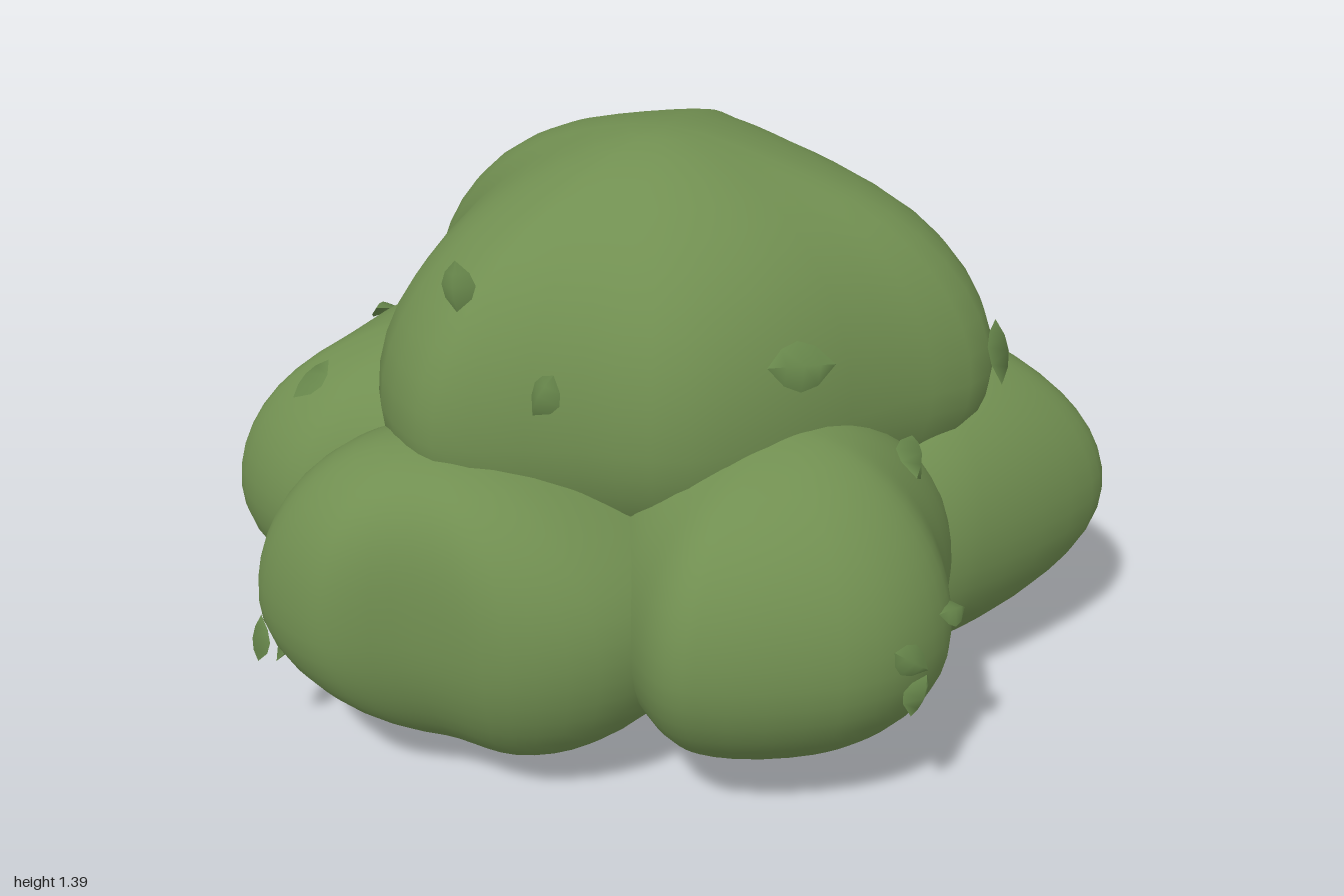
import * as THREE from 'three';
import { mergeVertices } from 'three/addons/utils/BufferGeometryUtils.js';

const foliage = new THREE.MeshStandardMaterial({ color: 0x718f51 });
foliage.name = 'foliage green';
const leafGreen = new THREE.MeshStandardMaterial({ color: 0x66854a, side: THREE.DoubleSide });
leafGreen.name = 'leaf green';
const bark = new THREE.MeshStandardMaterial({ color: 0x7a5842 });
bark.name = 'bark brown';

// Rounded clump: a sphere whose widest ring follows a closed outline of [x, z] points
// running left, front, right, back; top and bottom are its [x, y, z] poles
function clump(name, top, bottom, midY, outline) {
  const curve = new THREE.CatmullRomCurve3(
    outline.map(([x, z]) => new THREE.Vector3(x, 0, z)), true, 'centripetal');
  const ring = curve.getPoints(48);
  const geo = new THREE.SphereGeometry(1, 48, 24);
  const pos = geo.attributes.position, uv = geo.attributes.uv;
  const meanRadius = ([cx, , cz]) =>
    ring.reduce((sum, p) => sum + Math.hypot(p.x - cx, p.z - cz), 0) / ring.length;
  const topRadius = meanRadius(top), bottomRadius = meanRadius(bottom);
  for (let i = 0; i < pos.count; i++) {
    const y = pos.getY(i);
    const pole = y > 0 ? top : bottom;
    const r = Math.sqrt(Math.max(0, 1 - y * y));
    const p = curve.getPoint((uv.getX(i) + 1) % 1);
    const dx = p.x - pole[0], dz = p.z - pole[2];
    // the outline relaxes into a circle toward the poles
    const round = (y > 0 ? topRadius : bottomRadius) / Math.hypot(dx, dz);
    const s = r * THREE.MathUtils.lerp(1, round, (1 - r) * 0.85);
    const x = pole[0] + dx * s, z = pole[2] + dz * s;
    // soft dents
    const dent = 0.012 * Math.sin(9 * x + 2) * Math.sin(8 * z + 1);
    pos.setXYZ(i, x, midY + Math.abs(y) * (pole[1] - midY) + dent * y, z);
  }
  geo.deleteAttribute('uv');
  geo.deleteAttribute('normal');
  const smooth = mergeVertices(geo, 1e-4);
  smooth.computeVertexNormals();
  const mesh = new THREE.Mesh(smooth, foliage);
  mesh.name = name;
  return mesh;
}

// Pointed leaf, folded along its midrib
function leafGeometry() {
  const geo = new THREE.PlaneGeometry(2, 1, 2, 4);
  const pos = geo.attributes.position;
  const widths = [0, 0.26, 0.36, 0.28, 0];
  for (let i = 0; i < pos.count; i++) {
    const row = Math.floor(i / 3), x = pos.getX(i) * widths[row], y = pos.getY(i);
    pos.setXYZ(i, x, y, 0.2 - 0.75 * Math.abs(x) - 0.6 * y * y);
  }
  geo.computeVertexNormals();
  return geo;
}

function limb(name, from, to, r0, r1) {
  const a = new THREE.Vector3(...from), b = new THREE.Vector3(...to);
  const d = b.clone().sub(a);
  const mesh = new THREE.Mesh(new THREE.CylinderGeometry(r1, r0, d.length(), 10), bark);
  mesh.position.copy(a).add(b).multiplyScalar(0.5);
  mesh.quaternion.setFromUnitVectors(new THREE.Vector3(0, 1, 0), d.normalize());
  mesh.name = name;
  return mesh;
}

export function createModel() {
  const tree = new THREE.Group();
  tree.name = 'bush';

  // Trunk and short spreading branches
  tree.add(limb('trunk', [-0.035, 0, 0], [-0.03, 0.2, 0], 0.082, 0.066));
  for (let i = 0; i < 5; i++) {
    const a = i * Math.PI * 0.4 + 0.3;
    tree.add(limb('branch', [-0.03, 0.08, 0],
      [-0.03 + 0.16 * Math.cos(a), 0.17, 0.16 * Math.sin(a)], 0.038, 0.034));
  }

  // Foliage clumps
  tree.add(
    clump('topClump', [-0.02, 1.375, -0.02], [0, 0.43, -0.02], 0.85, [
      [-0.68, 0.08], [-0.65, 0.28], [-0.58, 0.37], [-0.29, 0.44], [-0.1, 0.52], [0.14, 0.48],
      [0.41, 0.36], [0.65, 0.27], [0.69, 0.13], [0.62, -0.05], [0.43, -0.26], [0.34, -0.4],
      [0.3, -0.545], [0.15, -0.595], [-0.235, -0.605], [-0.37, -0.53], [-0.5, -0.37], [-0.53, -0.19]]),
    clump('frontClump', [0.14, 0.86, 0.42], [0.13, 0.06, 0.33], 0.45, [
      [-0.25, 0.42], [-0.22, 0.6], [-0.18, 0.73], [-0.11, 0.785], [0.2, 0.825], [0.35, 0.785],
      [0.47, 0.68], [0.5, 0.535], [0.57, 0.3], [0.4, 0], [0.08, -0.16], [-0.2, 0.1]]),
    clump('frontRightClump', [-0.6, 0.825, 0.28], [-0.4, 0.06, 0.25], 0.44, [
      [-0.8, 0.05], [-0.95, 0.15], [-0.98, 0.25], [-0.91, 0.4], [-0.84, 0.465], [-0.66, 0.51],
      [-0.48, 0.63], [-0.22, 0.63], [0.06, 0.42], [0.1, 0.06], [-0.2, -0.1], [-0.58, -0.03]]),
    clump('leftClump', [0.53, 0.84, 0.03], [0.4, 0.06, 0.03], 0.46, [
      [-0.14, 0], [0.1, 0.27], [0.48, 0.39], [0.64, 0.37], [0.97, 0.18], [1, 0.1],
      [0.91, -0.07], [0.81, -0.21], [0.7, -0.29], [0.5, -0.37], [0.1, -0.28]]),
    clump('backClump', [0.17, 0.85, -0.43], [0.15, 0.06, -0.36], 0.46, [
      [-0.3, -0.5], [-0.22, -0.12], [0.04, 0.1], [0.45, 0], [0.7, -0.27], [0.64, -0.39],
      [0.59, -0.535], [0.38, -0.66], [0.28, -0.79], [0.03, -0.83], [-0.13, -0.83],
      [-0.23, -0.78], [-0.31, -0.68]]),
    clump('backRightClump', [-0.54, 0.835, -0.3], [-0.42, 0.06, -0.27], 0.45, [
      [-1, -0.25], [-0.9, -0.05], [-0.74, 0.015], [-0.35, 0.12], [0.04, 0], [0.02, -0.4],
      [-0.26, -0.69], [-0.39, -0.705], [-0.62, -0.6], [-0.72, -0.47], [-0.97, -0.32]]));

  // Loose leaves: position, facing direction, roll, length
  const geo = leafGeometry();
  [
    [[-0.51, 1.18, 0.27], [-0.5, 0.2, 0.8], 0.1, 0.11],
    [[-0.35, 0.99, 0.43], [-0.7, 0.2, 0.6], -0.4, 0.11],
    [[0.17, 1.03, 0.48], [0.1, 0.5, 0.9], 1.5, 0.15],
    [[0.66, 0.9, 0.25], [0.9, 0.2, 0.3], -0.7, 0.15],
    [[0.43, 0.75, 0.43], [0.7, 0.6, 0.3], -1.2, 0.13],
    [[0.345, 0.48, 0.785], [0.3, 0.2, 0.9], 0.9, 0.1],
    [[0.37, 0.38, 0.765], [0.4, 0, 0.9], -0.4, 0.1],
    [[0.46, 0.51, 0.68], [0.5, 0.7, 0.4], 1.2, 0.09],
    [[0.34, 1.11, -0.31], [0.8, 0.4, -0.3], 0.9, 0.11],
    [[0.36, 1.03, -0.36], [0.9, 0.2, -0.4], 0.1, 0.1],
    [[-0.62, 0.74, -0.51], [-0.2, 0.8, -0.5], -0.8, 0.1],
    [[-0.81, 0.74, -0.18], [-0.6, 0.8, 0], 0.4, 0.12],
    [[-0.97, 0.31, 0.2], [-1, 0.2, 0.2], 0.2, 0.11],
    [[-0.91, 0.24, 0.13], [-0.8, 0.4, -0.4], 0.6, 0.11],
  ].forEach(([p, n, roll, size]) => {
    const leaf = new THREE.Mesh(geo, leafGreen);
    const dir = new THREE.Vector3(...n).normalize();
    leaf.position.set(...p).addScaledVector(dir, 0.012);
    leaf.lookAt(leaf.position.clone().add(dir));
    leaf.rotateZ(roll);
    leaf.scale.setScalar(size);
    leaf.name = 'leaf';
    tree.add(leaf);
  });
  return tree;
}
